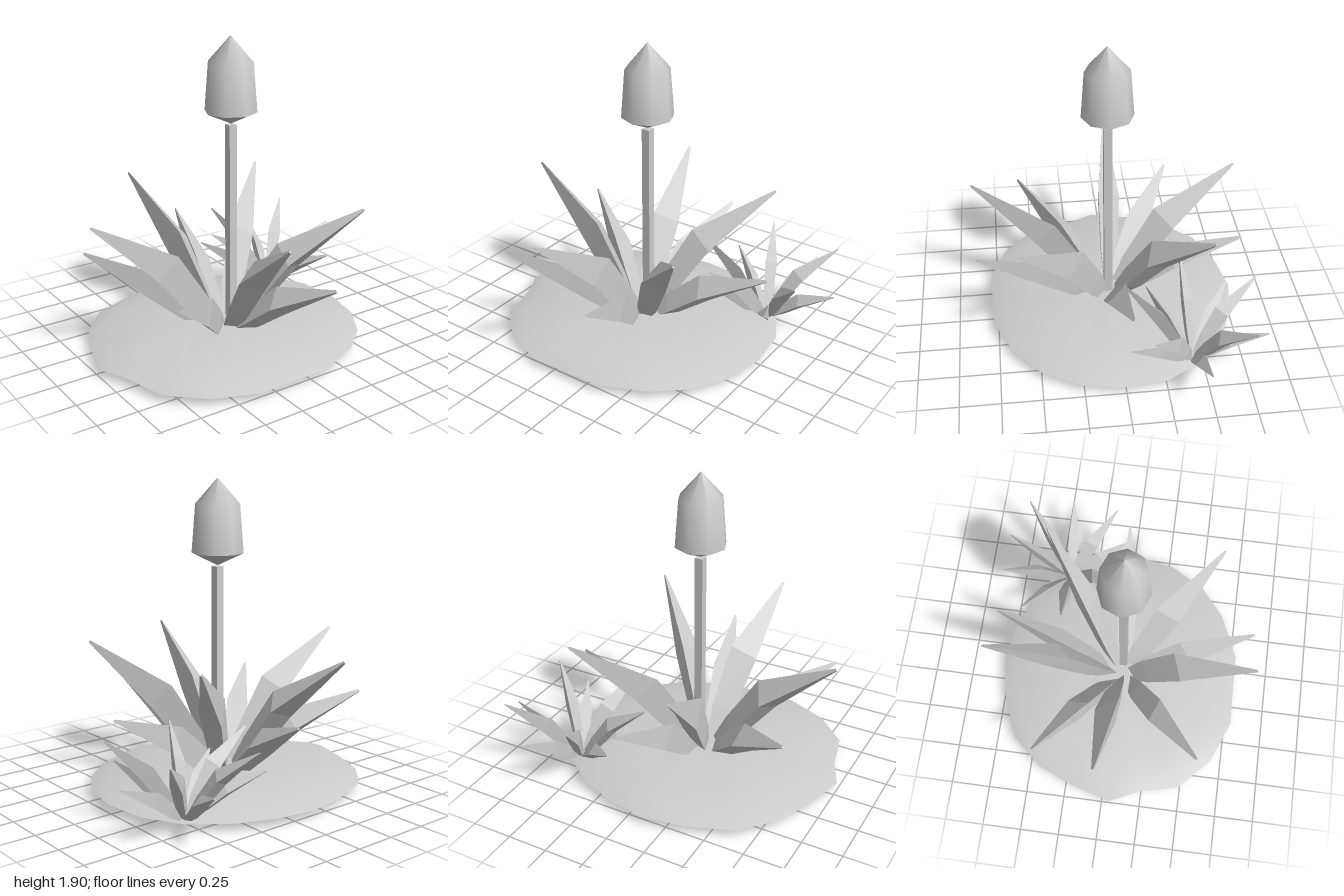
import * as THREE from 'three';

const stone = new THREE.MeshStandardMaterial({ color: 0xcccccc });
stone.name = 'pale grey';

// Leaf centre lines as [share of reach, height, section scale]
const TALL = [[0.0, 0.02, 0.25], [0.21, 0.27, 0.8], [0.46, 0.57, 1], [1, 0.9, 0.09]];
const LOW = [[0.0, 0.03, 0.25], [0.24, 0.2, 0.75], [0.5, 0.38, 0.9], [1, 0.575, 0.09]];
// Three-sided leaf section as [sideways, up]
const SECTION = [[0.09, -0.03], [-0.05, -0.1], [-0.05, 0.09]];

function facetedGeometry(triangles) {
  const geometry = new THREE.BufferGeometry().setFromPoints(triangles);
  geometry.computeVertexNormals();
  return geometry;
}

// Lofts the section along a rising centre line towards +x
function leafGeometry(path, reach, scale) {
  const line = path.map(([r, y]) => new THREE.Vector2(r * reach, y * scale));
  const rings = path.map(([, , size], k) => {
    const a = line[Math.max(k - 1, 0)], b = line[Math.min(k + 1, line.length - 1)];
    const t = b.clone().sub(a).normalize();
    return SECTION.map(([s, u]) => new THREE.Vector3(
      line[k].x - t.y * u * size * scale,
      line[k].y + t.x * u * size * scale,
      s * size * scale));
  });
  const tris = [];
  for (let k = 0; k < rings.length - 1; k++) {
    const a = rings[k], b = rings[k + 1];
    for (let i = 0; i < 3; i++) {
      const j = (i + 1) % 3;
      tris.push(a[i], a[j], b[j], a[i], b[j], b[i]);
    }
  }
  const root = rings[0], tip = rings[rings.length - 1];
  tris.push(root[2], root[1], root[0], tip[0], tip[1], tip[2]);
  return facetedGeometry(tris);
}

// Rosette of alternating tall and low leaves; tips are [x, z]
function makePlant(name, cx, cy, cz, scale, tips) {
  const plant = new THREE.Group();
  plant.name = name;
  plant.position.set(cx, cy, cz);
  tips.forEach(([x, z], i) => {
    const dx = x - cx, dz = z - cz;
    const leaf = new THREE.Mesh(
      leafGeometry(i % 2 ? LOW : TALL, Math.hypot(dx, dz), scale), stone);
    leaf.name = i % 2 ? 'lowLeaf' : 'tallLeaf';
    leaf.rotation.y = -Math.atan2(dz, dx);
    plant.add(leaf);
  });
  return plant;
}

// Low, uneven mound with a flat underside
function makeMound() {
  const outline = [
    [-1, 0.05], [-0.93, -0.2], [-0.83, -0.44], [-0.65, -0.64], [-0.36, -0.75],
    [-0.11, -0.79], [0.13, -0.75], [0.36, -0.66], [0.58, -0.5], [0.72, -0.25],
    [0.75, 0.03], [0.7, 0.28], [0.57, 0.5], [0.38, 0.66], [0.1, 0.78],
    [-0.38, 0.79], [-0.65, 0.68], [-0.85, 0.49], [-0.91, 0.24]];
  const n = outline.length, cx = -0.12;
  const levels = [[1, 0.055], [0.88, 0.09], [0.65, 0.122], [0.35, 0.138]];
  const positions = [], index = [];
  levels.forEach(([t, y], k) => outline.forEach(([x, z], i) => {
    const bump = k ? 0.007 * Math.sin(i * 2.3 + k) : 0;
    positions.push(cx + (x - cx) * t, y + bump, z * t);
  }));
  positions.push(cx, 0.145, 0);
  for (let i = 0; i < n; i++) {
    const j = (i + 1) % n;
    for (let k = 0; k < levels.length - 1; k++) {
      const a = k * n + i, b = k * n + j;
      index.push(a, b + n, b, a, a + n, b + n);
    }
    const last = (levels.length - 1) * n;
    index.push(levels.length * n, last + j, last + i);
  }
  const top = new THREE.BufferGeometry();
  top.setAttribute('position', new THREE.Float32BufferAttribute(positions, 3));
  top.setIndex(index);
  top.computeVertexNormals();

  const under = [];
  outline.forEach(([x, z], i) => {
    const [x2, z2] = outline[(i + 1) % n];
    under.push(new THREE.Vector3(cx, 0.055, 0), new THREE.Vector3(x, 0.055, z),
      new THREE.Vector3(x2, 0.055, z2));
  });
  const mound = new THREE.Group();
  mound.name = 'mound';
  const upper = new THREE.Mesh(top, stone);
  upper.name = 'moundTop';
  const lower = new THREE.Mesh(facetedGeometry(under), stone);
  lower.name = 'moundUnderside';
  mound.add(upper, lower);
  return mound;
}

// Square stem with an eight-sided bud
function makeFlower() {
  const flower = new THREE.Group();
  flower.name = 'flower';
  flower.position.set(-0.065, 0, 0.025);
  const stem = new THREE.Mesh(new THREE.BoxGeometry(0.052, 1.36, 0.052), stone);
  stem.name = 'stem';
  stem.position.y = 0.7;
  flower.add(stem);
  const profiles = {
    budBase: [[0, 1.385], [0.158, 1.46]],
    bud: [[0.158, 1.46], [0.135, 1.755], [0, 1.91]],
  };
  for (const [name, points] of Object.entries(profiles)) {
    const part = new THREE.Mesh(
      new THREE.LatheGeometry(points.map(p => new THREE.Vector2(...p)), 8), stone);
    part.name = name;
    flower.add(part);
  }
  return flower;
}

export function createModel() {
  const model = new THREE.Group();
  model.name = 'floweringPlant';
  model.add(
    makeMound(),
    makeFlower(),
    makePlant('largePlant', -0.12, 0, 0.02, 1, [
      [0.51, -0.54], [0.74, -0.04], [0.5, 0.59], [0.09, 0.85], [-0.25, 0.86],
      [-0.76, 0.57], [-0.97, -0.04], [-0.83, -0.45], [-0.31, -0.81], [0.04, -0.81]]),
    makePlant('smallPlant', 0.54, 0.03, -0.43, 0.53, [
      [0.87, -0.74], [0.99, -0.46], [0.88, -0.14], [0.74, -0.03], [0.35, -0.03],
      [0.17, -0.19], [0.08, -0.41], [0.17, -0.7], [0.35, -0.84], [0.68, -0.86]]));
  return model;
}
